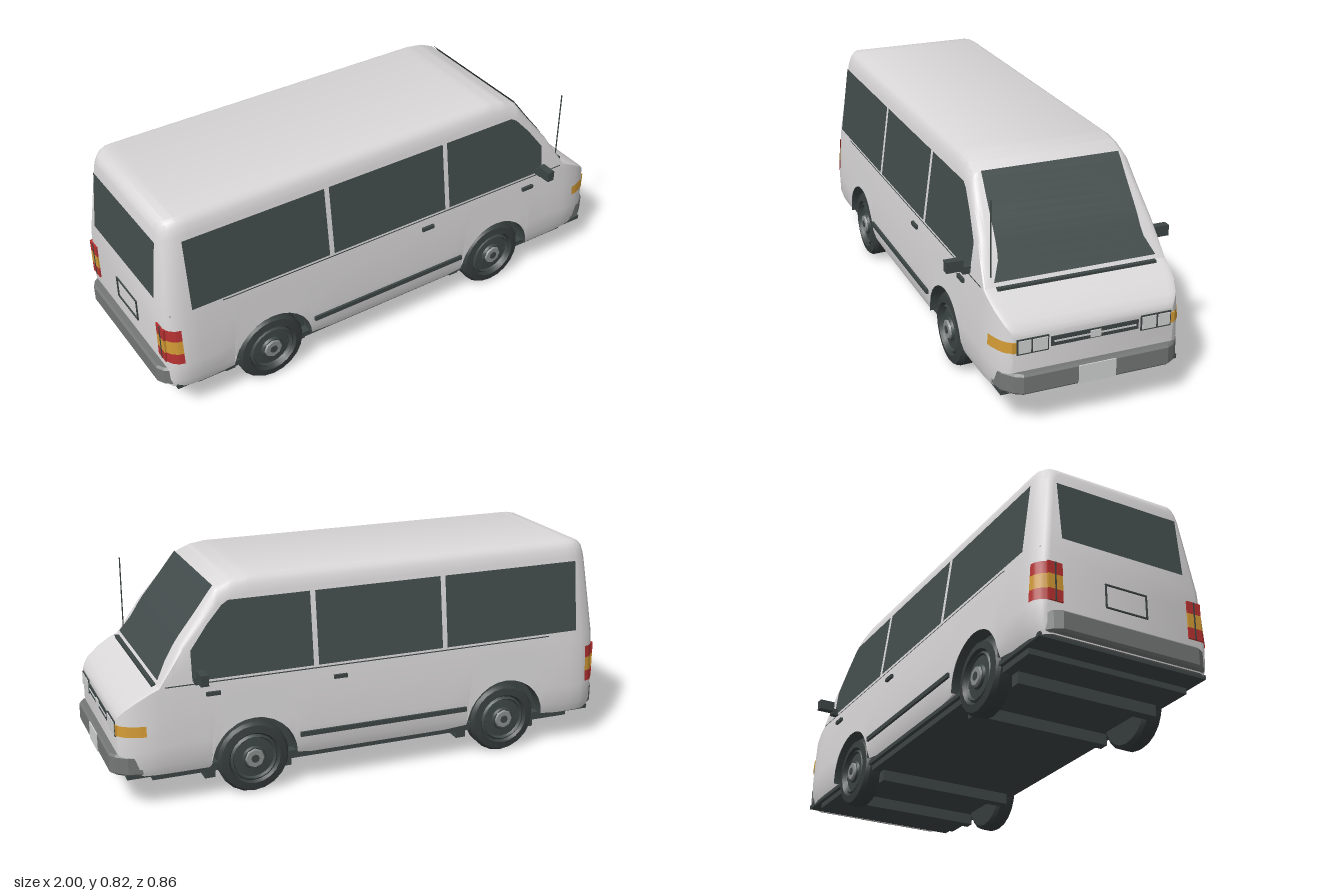
import * as THREE from 'three';
import { toCreasedNormals } from 'three/addons/utils/BufferGeometryUtils.js';

const mat = (name, color) => {
  const m = new THREE.MeshStandardMaterial({ color, side: THREE.DoubleSide });
  m.name = name;
  return m;
};

// piecewise linear lookup in [[x, value], ...]
function lookup(table, x) {
  if (x <= table[0][0]) return table[0][1];
  for (let i = 1; i < table.length; i++) {
    const [x0, v0] = table[i - 1], [x1, v1] = table[i];
    if (x <= x1) return v0 + (v1 - v0) * (x - x0) / (x1 - x0);
  }
  return table[table.length - 1][1];
}

const AXLES = [-0.56, 0.475], ARCH = 0.165, WHEEL_Y = 0.138, BELT = 0.45;
// roof and hood line, body half width by height, and narrowing at both ends
const ROOF = [[-0.97, 0.785], [-0.96, 0.803], [-0.94, 0.815], [-0.9, 0.82], [0.47, 0.82], [0.53, 0.811],
  [0.59, 0.785], [0.65, 0.705], [0.73, 0.605], [0.77, 0.54], [0.82, 0.46], [0.85, 0.447], [0.9, 0.418],
  [0.945, 0.385], [0.965, 0.362], [0.972, 0.345]];
const WIDTH = [[0.13, 0.345], [0.17, 0.358], [0.25, 0.36], [0.45, 0.345], [0.82, 0.295]];
const TAPER = [[-0.97, 0.05], [-0.96, 0.03], [-0.94, 0.014], [-0.9, 0.002], [-0.88, 0], [0.8, 0], [0.85, 0.003],
  [0.9, 0.012], [0.945, 0.03], [0.965, 0.048], [0.972, 0.06]];
const halfWidth = (x, y) => lookup(WIDTH, y) - lookup(TAPER, x);
const lean = (x, y) => 0.1 * Math.max(0, y - BELT) * THREE.MathUtils.clamp((-0.8 - x) / 0.15, 0, 1);

function sill(x) {
  for (const c of AXLES) {
    const d = Math.abs(x - c);
    if (d < ARCH + 1e-6) return WHEEL_Y + Math.sqrt(Math.max(0, ARCH * ARCH - d * d));
  }
  return 0.13;
}

// body shell: cross-sections along x, open below, closed at both ends
function bodyGeometry() {
  const xs = ROOF.map(p => p[0]).concat([-0.85, -0.8, -0.3, -0.1, 0.1, 0.25]);
  for (const c of AXLES) for (let k = 0; k <= 14; k++) xs.push(c + ARCH * Math.cos(k * Math.PI / 14));
  xs.sort((a, b) => a - b);
  const lower = [0, 0.12, 0.35, 0.7];
  const upper = [[0, 0], [0.4, 0], [0.84, 0], [0.92, 0.005], [0.975, 0.014], [1, 0.029]];
  const n = lower.length + upper.length, ring = 2 * n, pos = [], idx = [];
  for (const x of xs) {
    const bottom = sill(x), top = lookup(ROOF, x), belt = Math.min(BELT, top - 0.025);
    const half = lower.map(t => [bottom + (belt - bottom) * t, 0])
      .concat(upper.map(([t, r]) => [belt + (top - belt) * t, r]))
      .map(([y, r]) => [x + lean(x, y), y, halfWidth(x, y) - r]);
    for (const p of half) pos.push(...p);
    for (const p of half.reverse()) pos.push(p[0], p[1], -p[2]);
  }
  const quad = (a, b, c, d) => idx.push(a, b, c, a, c, d);
  for (let c = 0; c < xs.length - 1; c++) for (let j = 0; j < ring - 1; j++) {
    const a = c * ring + j, b = a + ring;
    quad(a, b, b + 1, a + 1);
  }
  const last = (xs.length - 1) * ring;
  for (let j = 0; j < n - 1; j++) {
    const m = ring - 1 - j;
    quad(last + j, last + m, last + m - 1, last + j + 1);
    quad(j, j + 1, m - 1, m);
  }
  const g = new THREE.BufferGeometry();
  g.setAttribute('position', new THREE.Float32BufferAttribute(pos, 3));
  g.setIndex(idx);
  return toCreasedNormals(g, 0.55);
}

export function createModel() {
  const van = new THREE.Group();
  van.name = 'van';
  const white = mat('body white', 0xdad8d8), glass = mat('window glass', 0x434c4c), trim = mat('dark trim', 0x3e4646);
  const rubber = mat('tyre rubber', 0x373d3d), grey = mat('bumper grey', 0x747776), lens = mat('lamp lens', 0xd2d5d4);
  const amber = mat('indicator amber', 0xd29a35), red = mat('tail lamp red', 0xb83232), metal = mat('hub metal', 0x8b908f);

  const add = (name, geo, material, parent = van) => {
    const m = new THREE.Mesh(geo, material);
    m.name = name;
    parent.add(m);
    return m;
  };
  // box given by its limits on each axis
  const box = (name, material, x0, x1, y0, y1, z0, z1) =>
    add(name, new THREE.BoxGeometry(x1 - x0, y1 - y0, z1 - z0), material)
      .position.set((x0 + x1) / 2, (y0 + y1) / 2, (z0 + z1) / 2);
  const pair = (name, material, x0, x1, y0, y1, z0, z1) => {
    box(name, material, x0, x1, y0, y1, z0, z1);
    box(name, material, x0, x1, y0, y1, -z1, -z0);
  };
  // thin skin laid on both flanks of the body
  const flank = (name, material, make, off = 0.004) => {
    for (const s of [1, -1]) {
      const g = make(), p = g.attributes.position;
      for (let i = 0; i < p.count; i++) p.setZ(i, s * (halfWidth(p.getX(i), p.getY(i)) + off));
      g.computeVertexNormals();
      add(name, g, material);
    }
  };
  const patch = (x0, x1, y0, y1) => () =>
    new THREE.PlaneGeometry(x1 - x0, y1 - y0, 8, 1).translate((x0 + x1) / 2, (y0 + y1) / 2, 0);
  const outline = pts => () => new THREE.ShapeGeometry(new THREE.Shape(pts.map(p => new THREE.Vector2(...p))));

  add('body', bodyGeometry(), white);

  // side windows, belt line, handles and rubbing strip
  flank('rearSideWindow', glass, outline([[-0.872, 0.47], [-0.305, 0.47], [-0.305, 0.745], [-0.872, 0.745]]));
  flank('middleSideWindow', glass, outline([[-0.285, 0.47], [0.22, 0.47], [0.22, 0.745], [-0.285, 0.745]]));
  flank('frontSideWindow', glass, outline([[0.24, 0.47], [0.7, 0.47], [0.7, 0.58], [0.635, 0.665], [0.575, 0.73], [0.55, 0.745], [0.24, 0.745]]));
  flank('beltLine', trim, patch(-0.95, 0.8, 0.457, 0.461), 0.002);
  pair('sideStrip', trim, -0.385, 0.3, 0.203, 0.221, 0.355, 0.368);
  for (const x of [0.11, 0.6]) pair('doorHandle', trim, x, x + 0.053, 0.41, 0.424, 0.342, 0.358);

  // windscreen follows the slope of the front
  const screen = new THREE.PlaneGeometry(1, 2, 12, 1), sp = screen.attributes.position;
  for (let i = 0; i < sp.count; i++) {
    const x = 0.7 + sp.getX(i) * 0.225;
    const w = lookup([[0.59, 0.262], [0.77, 0.272], [0.8125, 0.305]], x);
    sp.setXYZ(i, x + 0.005, lookup(ROOF, x) + 0.004, -sp.getY(i) * w);
  }
  screen.computeVertexNormals();
  add('windscreen', screen, glass);
  box('wiperCowl', trim, 0.822, 0.838, 0.448, 0.462, -0.3, 0.3);

  // rear window on the leaning tailgate
  const rearGlass = new THREE.PlaneGeometry(0.5, 0.235).rotateY(-Math.PI / 2);
  rearGlass.rotateZ(-Math.atan(0.1)).translate(-0.97 + 0.1 * 0.167 - 0.005, 0.617, 0);
  add('rearWindow', rearGlass, glass);

  // headlamps, indicators and grille
  pair('headlampFrame', trim, 0.968, 0.976, 0.278, 0.335, 0.172, 0.288);
  for (const z of [0.177, 0.238]) pair('headlamp', lens, 0.972, 0.979, 0.284, 0.33, z, z + 0.045 + (z < 0.2 ? 0.008 : 0));
  flank('frontIndicatorSide', amber, patch(0.875, 0.972, 0.286, 0.326));
  pair('frontIndicator', amber, 0.966, 0.975, 0.286, 0.326, 0.289, 0.303);
  box('grille', trim, 0.968, 0.976, 0.289, 0.324, -0.163, 0.163);
  box('grilleBar', lens, 0.972, 0.978, 0.303, 0.309, -0.153, 0.153);
  box('grilleCentre', lens, 0.972, 0.98, 0.294, 0.319, -0.02, 0.02);

  // bumpers: plan outline with swept-back corners
  for (const s of [1, -1]) {
    const plan = [[0.9, 0.335], [0.94, 0.325], [0.978, 0.295], [0.992, 0.27]];
    const pts = plan.concat(plan.map(([x, z]) => [x, -z]).reverse()).map(([x, z]) => new THREE.Vector2(s * x, z));
    const g = new THREE.ExtrudeGeometry(new THREE.Shape(pts),
      { depth: 0.062, bevelEnabled: true, bevelSize: 0.008, bevelThickness: 0.008, bevelSegments: 1 });
    add(s > 0 ? 'frontBumper' : 'rearBumper', g.rotateX(-Math.PI / 2).translate(0, 0.143, 0), grey);
  }
  box('frontPlate', lens, 0.995, 1.002, 0.138, 0.207, -0.07, 0.07);

  // tail lamps and tailgate plate frame
  [['tailLamp', red, 0.35, 0.397], ['rearIndicator', amber, 0.295, 0.35], ['lowerTailLamp', red, 0.252, 0.295]].forEach(([name, m, y0, y1]) => {
    flank(name, m, patch(-0.97, -0.92, y0, y1));
    pair(name, m, -0.976, -0.967, y0, y1, 0.255, 0.312);
  });
  pair('tailLampDivider', trim, -0.978, -0.967, 0.252, 0.397, 0.281, 0.286);
  for (const y of [0.28, 0.366]) box('plateFrame', trim, -0.975, -0.967, y, y + 0.005, -0.085, 0.085);
  pair('plateFrame', trim, -0.975, -0.967, 0.28, 0.371, 0.08, 0.085);

  // mirrors and aerial
  pair('mirrorArm', trim, 0.67, 0.695, 0.463, 0.49, 0.335, 0.37);
  pair('mirror', trim, 0.662, 0.692, 0.475, 0.516, 0.365, 0.428);
  add('aerial', new THREE.CylinderGeometry(0.0025, 0.0025, 0.32, 6), trim).position.set(0.8, 0.61, 0.31);

  // underside
  box('floor', trim, -0.95, 0.95, 0.124, 0.14, -0.335, 0.335);
  box('chassis', trim, -0.86, 0.855, 0.102, 0.126, -0.32, 0.32);
  for (const x of [-0.71, -0.405, 0.33, 0.63]) box('crossmember', trim, x - 0.02, x + 0.02, 0.058, 0.11, -0.283, 0.283);

  // wheels with their wells
  const v = list => list.map(p => new THREE.Vector2(...p));
  const tyre = toCreasedNormals(new THREE.LatheGeometry(v([[0, 0.27], [0.124, 0.27], [0.137, 0.282], [0.138, 0.328],
    [0.128, 0.343], [0.1, 0.348], [0.092, 0.336]]), 20).rotateX(Math.PI / 2), 0.5);
  const rim = toCreasedNormals(new THREE.LatheGeometry(v([[0.092, 0.336], [0.084, 0.344], [0.078, 0.333], [0.045, 0.336],
    [0.04, 0.345], [0, 0.345]]), 20).rotateX(Math.PI / 2), 0.4);
  const hub = new THREE.CylinderGeometry(0.034, 0.038, 0.008, 8).rotateX(Math.PI / 2).translate(0, 0, 0.348);
  const cap = new THREE.CylinderGeometry(0.016, 0.016, 0.008, 8).rotateX(Math.PI / 2).translate(0, 0, 0.35);
  for (const x of AXLES) {
    const well = new THREE.CylinderGeometry(0.175, 0.175, 0.6, 24, 1, false, Math.PI / 2, Math.PI);
    add('wheelWell', well.rotateX(Math.PI / 2), trim).position.set(x, WHEEL_Y, 0);
    for (const s of [1, -1]) {
      const lip = new THREE.CylinderGeometry(0.164, 0.164, 0.065, 24, 1, true, Math.PI / 2, Math.PI);
      add('archLip', lip.rotateX(Math.PI / 2), trim).position.set(x, WHEEL_Y, s * 0.325);
      const wheel = new THREE.Group();
      wheel.name = 'wheel';
      wheel.position.set(x, WHEEL_Y, 0);
      wheel.rotation.y = s > 0 ? 0 : Math.PI;
      add('tyre', tyre, rubber, wheel);
      add('rim', rim, trim, wheel);
      add('hub', hub, metal, wheel);
      add('hubCap', cap, trim, wheel);
      van.add(wheel);
    }
  }
  return van;
}
